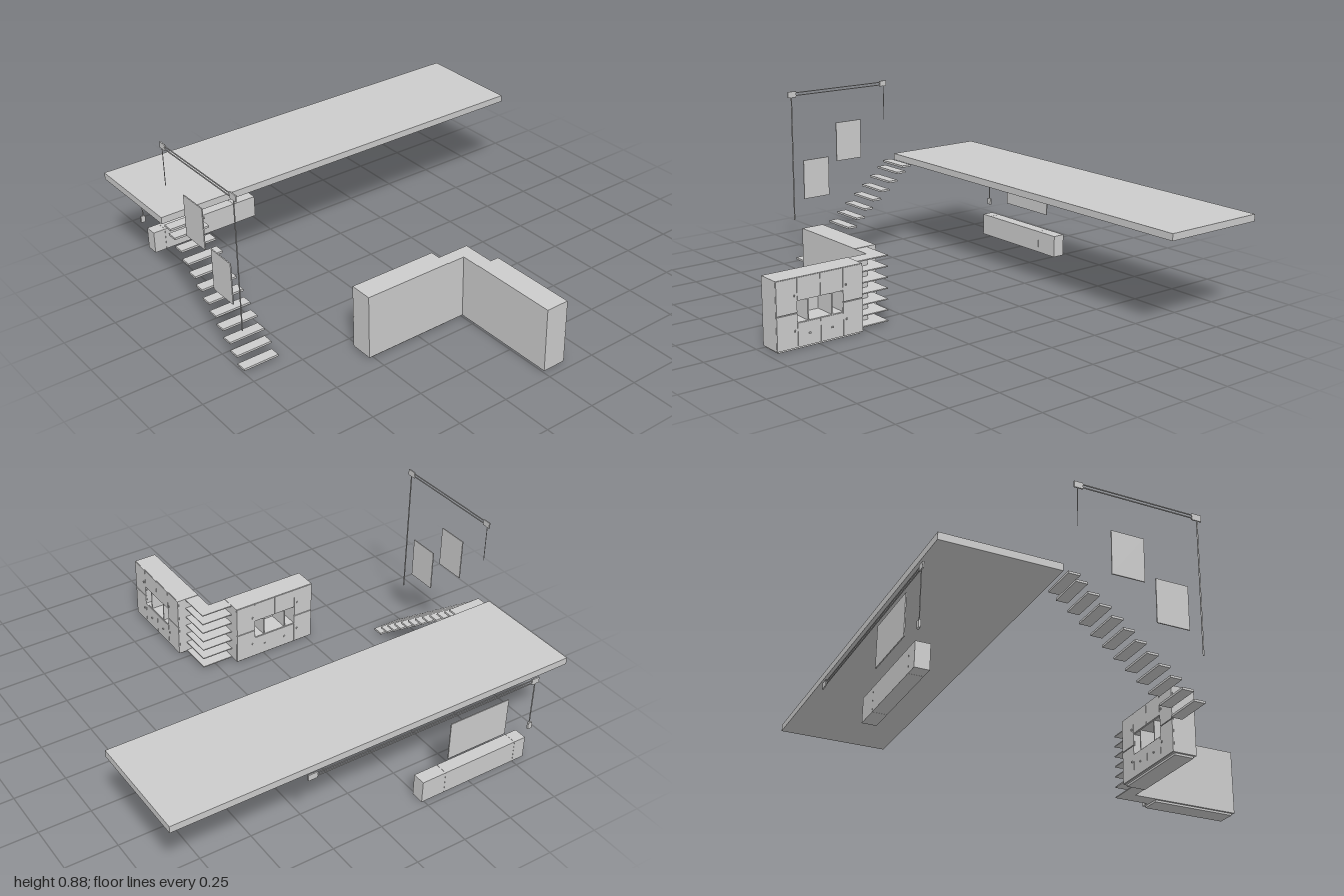
import * as THREE from 'three';

const material = new THREE.MeshStandardMaterial({ color: 0xcccccc, flatShading: true });

// Box given by its min and max on each axis
function box(parent, name, x0, x1, y0, y1, z0, z1) {
  const mesh = new THREE.Mesh(new THREE.BoxGeometry(x1 - x0, y1 - y0, z1 - z0), material);
  mesh.position.set((x0 + x1) / 2, (y0 + y1) / 2, (z0 + z1) / 2);
  mesh.name = name;
  parent.add(mesh);
  return mesh;
}

function group(parent, name) {
  const g = new THREE.Group();
  g.name = name;
  parent.add(g);
  return g;
}

// Cabinet wing: length along x, flat back at z = 0, fronts towards -z
function cabinetWing(parent, name) {
  const g = group(parent, name);
  const L = 0.2175, M = 0.115, D = 0.112, t = 0.006;
  box(g, 'backPanel', -L, L, 0.01, 0.32, -t, 0);
  box(g, 'topPanel', -L, L, 0.314, 0.32, -D, 0);
  box(g, 'bottomPanel', -L, L, 0.01, 0.016, -D, 0);
  box(g, 'plinth', -L + 0.01, L - 0.01, 0, 0.01, -D + 0.01, -0.01);
  for (const s of [-1, 1]) {
    // side column with two doors
    const a = Math.min(s * L, s * M), b = Math.max(s * L, s * M);
    box(g, 'sideColumn', a, b, 0.012, 0.318, -D + 0.003, 0);
    for (const [y0, y1] of [[0.012, 0.162], [0.166, 0.318]]) {
      box(g, 'columnDoor', a + 0.001, b - 0.001, y0, y1, -0.115, -D + 0.003);
      const hx = s * (M + 0.015);
      box(g, 'handle', hx - 0.003, hx + 0.003, (y0 + y1) / 2 - 0.004, (y0 + y1) / 2 + 0.004, -0.12, -0.115);
    }
    // niche divider
    box(g, 'nicheDivider', s * 0.06 - t / 2, s * 0.06 + t / 2, 0.12, 0.22, -D, 0);
    // upper and lower centre doors
    const c = Math.min(0, s * M), d = Math.max(0, s * M);
    box(g, 'upperDoor', c + 0.001, d - 0.001, 0.22, 0.318, -0.115, -D + 0.003);
    box(g, 'lowerDrawer', c + 0.001, d - 0.001, 0.012, 0.118, -0.115, -D + 0.003);
    box(g, 'handle', s * 0.057 - 0.004, s * 0.057 + 0.004, 0.062, 0.068, -0.12, -0.115);
  }
  box(g, 'nicheTop', -M, M, 0.216, 0.222, -D, 0);
  box(g, 'nicheFloor', -M, M, 0.115, 0.121, -D, 0);
  return g;
}

// Rail along x with two thin rods, end brackets and hanging cords [x, bottom, width]
function rail(parent, name, x0, x1, y, cords) {
  const g = group(parent, name);
  for (const dy of [-0.007, 0.007])
    box(g, 'railRod', x0, x1, y + dy - 0.002, y + dy + 0.002, -0.004, 0);
  box(g, 'endBracket', x0, x0 + 0.04, y - 0.014, y + 0.014, -0.006, 0);
  box(g, 'endBracket', x1 - 0.045, x1, y - 0.015, y + 0.015, -0.006, 0);
  for (const [x, bottom, w] of cords)
    box(g, 'cord', x - w / 2, x + w / 2, bottom, y, -0.004, -0.001);
  return g;
}

export function createModel() {
  const model = new THREE.Group();
  model.name = 'interior';

  box(model, 'loftSlab', -0.97, -0.445, 0.447, 0.48, -1, 1);

  // Floating stairs
  const stairs = group(model, 'stairs');
  for (let i = 0; i < 12; i++) {
    const top = i === 11;
    const x = top ? -0.398 : 0.15 - i * 0.0515;
    const y = top ? 0.449 : 0.015 + i * 0.0405;
    box(stairs, 'tread', x - 0.026, x + 0.026, y - 0.005, y + 0.005, 0.825, 0.999);
  }

  // Front wall: rail with cords and two pictures
  rail(model, 'frontRail', -0.395, 0.2, 0.862, [[-0.38, 0.67, 0.002], [0.18, 0.22, 0.006]])
    .position.z = 1;
  box(model, 'upperPicture', -0.23, -0.08, 0.49, 0.69, 0.994, 0.999);
  box(model, 'lowerPicture', -0.03, 0.12, 0.32, 0.52, 0.994, 0.999);

  // Side wall: rail under the slab, pull cord, screen and low bench
  const sideRail = rail(model, 'sideRail', -0.85, 0.365, 0.42, [[-0.83, 0.18, 0.005]]);
  box(sideRail, 'cordHandle', -0.842, -0.82, 0.155, 0.188, -0.009, 0);
  sideRail.rotation.y = Math.PI / 2;
  sideRail.position.x = -0.962;
  box(model, 'screen', -0.97, -0.965, 0.19, 0.38, 0.365, 0.682);
  const bench = group(model, 'bench');
  const cuts = [0.237, 0.36, 0.75, 0.812];
  for (let i = 0; i < 3; i++)
    box(bench, 'benchSection', -0.97, -0.907, 0.002, 0.112, cuts[i] + 0.0005, cuts[i + 1] - 0.0005);

  // Two cabinet wings meeting at an open corner
  cabinetWing(model, 'longWing').position.set(0.7475, 0, 0);
  const sideWing = cabinetWing(model, 'sideWing');
  sideWing.rotation.y = Math.PI / 2;
  sideWing.position.set(0.43, 0, 0.3075);

  // Corner shelves
  const corner = group(model, 'cornerShelves');
  box(corner, 'cornerBack', 0.43, 0.53, 0.01, 0.318, -0.005, 0);
  box(corner, 'cornerBack', 0.425, 0.43, 0.01, 0.318, 0, 0.09);
  const plan = new THREE.Shape([[0.365, -0.09], [0.43, -0.09], [0.43, 0], [0.53, 0], [0.53, 0.072], [0.365, 0.072]]
    .map(([x, y]) => new THREE.Vector2(x, y)));
  const shelfGeometry = new THREE.ExtrudeGeometry(plan, { depth: 0.005, bevelEnabled: false });
  shelfGeometry.rotateX(-Math.PI / 2);
  for (let i = 0; i < 7; i++) {
    const shelf = new THREE.Mesh(shelfGeometry, material);
    shelf.name = 'cornerShelf';
    shelf.position.y = 0.01 + i * 0.0505;
    corner.add(shelf);
  }
  return model;
}
